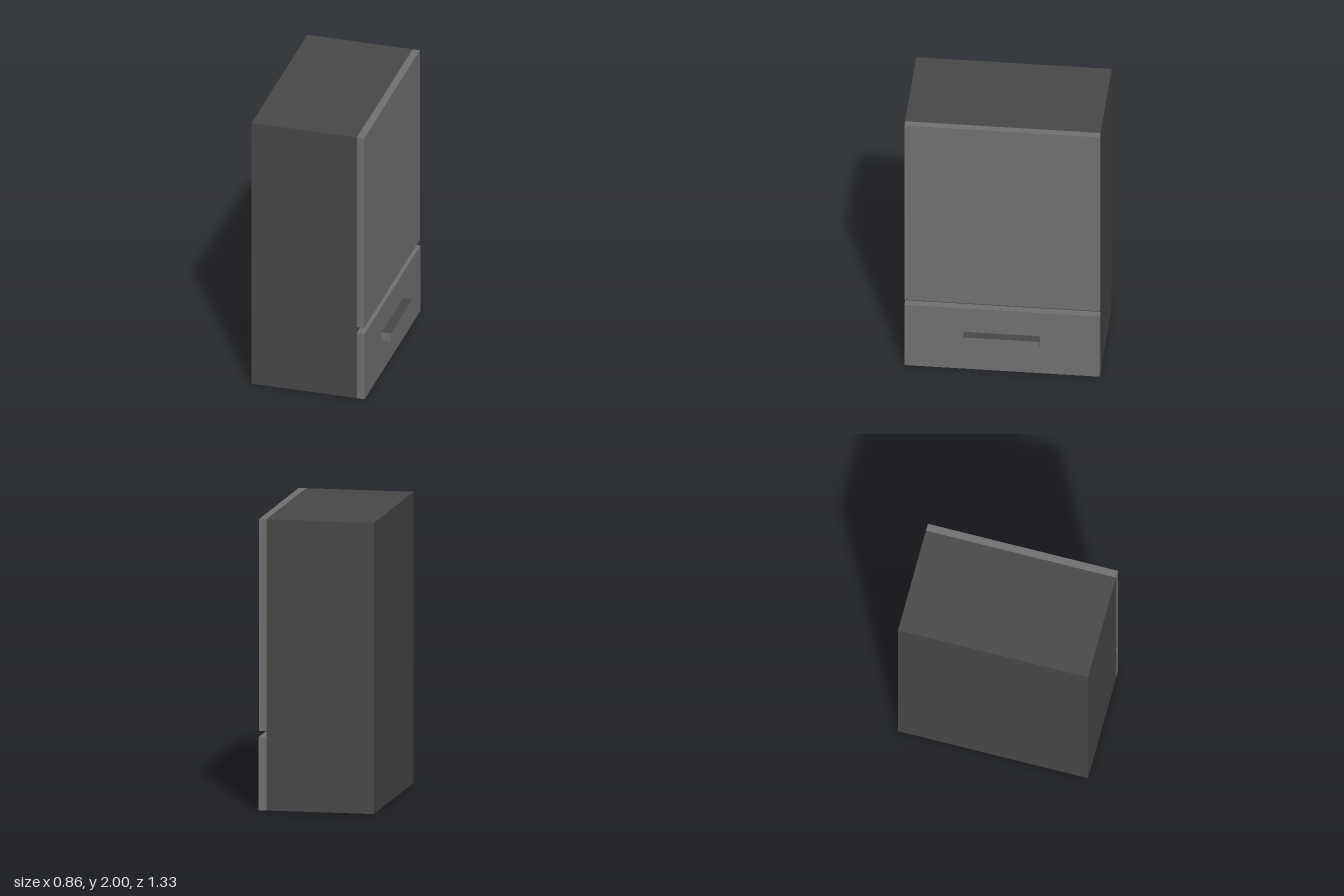
import * as THREE from 'three';

export function createModel() {
  const carcassGrey = new THREE.MeshStandardMaterial({ color: 0x484848 });
  carcassGrey.name = 'carcassGrey';
  const frontGrey = new THREE.MeshStandardMaterial({ color: 0x717171 });
  frontGrey.name = 'frontGrey';

  const cabinet = new THREE.Group();
  cabinet.name = 'cabinet';

  // Box given by its extents in x and y, centred on z
  function addBox(name, x0, x1, y0, y1, depth, material) {
    const mesh = new THREE.Mesh(new THREE.BoxGeometry(x1 - x0, y1 - y0, depth), material);
    mesh.position.set((x0 + x1) / 2, (y0 + y1) / 2, 0);
    mesh.name = name;
    cabinet.add(mesh);
  }

  const depth = 1.332;
  addBox('carcass', -0.432, 0.312, 0, 2, depth, carcassGrey);

  // Door and drawer fronts, with a gap between them
  addBox('upperDoor', 0.312, 0.363, 0.545, 2, depth, frontGrey);
  addBox('drawerFront', 0.312, 0.367, 0, 0.503, depth, frontGrey);

  // Handle: light front and ends, dark top and underside
  // (box face order: +x, -x, +y, -y, +z, -z)
  addBox('drawerHandle', 0.367, 0.432, 0.248, 0.308, 0.518,
    [frontGrey, frontGrey, carcassGrey, carcassGrey, frontGrey, frontGrey]);

  return cabinet;
}
